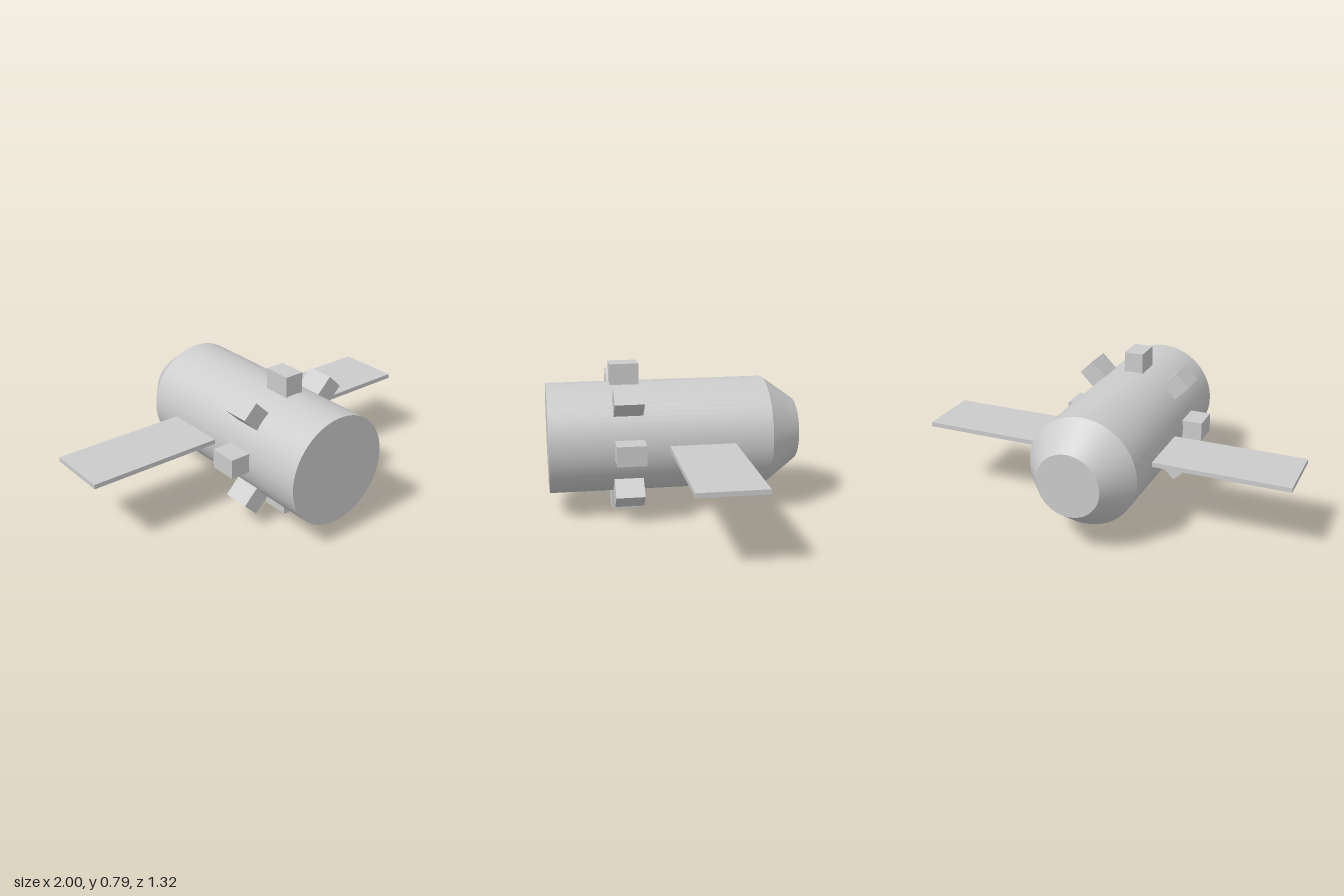
import * as THREE from 'three';

const material = new THREE.MeshStandardMaterial({ color: 0xcccccc });

function addMesh(parent, name, geometry, x = 0, y = 0, z = 0) {
  const mesh = new THREE.Mesh(geometry, material);
  mesh.name = name;
  mesh.position.set(x, y, z);
  parent.add(mesh);
  return mesh;
}

export function createModel() {
  const model = new THREE.Group();
  model.name = 'satellite';

  const axisY = 0.395, hullR = 0.29, tailR = 0.167;
  const frontZ = 0.66, shoulderZ = -0.49, backZ = -0.66;
  const sides = 64;

  // Open hull section running along z
  const section = (rFront, rBack, z0, z1) =>
    new THREE.CylinderGeometry(rFront, rBack, z0 - z1, sides, 1, true)
      .rotateX(Math.PI / 2).translate(0, 0, (z0 + z1) / 2);

  // Hull: straight barrel, tapered tail and flat ends
  const hull = new THREE.Group();
  hull.name = 'hull';
  hull.position.y = axisY;
  model.add(hull);
  addMesh(hull, 'barrel', section(hullR, hullR, frontZ, shoulderZ));
  addMesh(hull, 'taperedTail', section(hullR, tailR, shoulderZ, backZ));
  addMesh(hull, 'frontCap', new THREE.CircleGeometry(hullR, sides), 0, 0, frontZ);
  addMesh(hull, 'tailCap', new THREE.CircleGeometry(tailR, sides).rotateY(Math.PI), 0, 0, backZ);

  // Ring of eight blocks around the barrel
  const ring = new THREE.Group();
  ring.name = 'blockRing';
  ring.position.set(0, axisY, 0.255);
  model.add(ring);
  const blockDepth = 0.15, blockOuter = 0.395;
  const block = new THREE.BoxGeometry(blockDepth, 0.103, 0.15)
    .translate(blockOuter - blockDepth / 2, 0, 0);
  for (let i = 0; i < 8; i++) {
    addMesh(ring, 'block', block).rotation.z = i * Math.PI / 4;
  }

  // Thin panels on both sides, rooted just inside the hull
  const rootX = 0.27;
  for (const side of [1, -1]) {
    addMesh(model, side > 0 ? 'leftPanel' : 'rightPanel',
      new THREE.BoxGeometry(1 - rootX, 0.024, 0.34),
      side * (1 + rootX) / 2, axisY + 0.002, -0.12);
  }

  return model;
}
